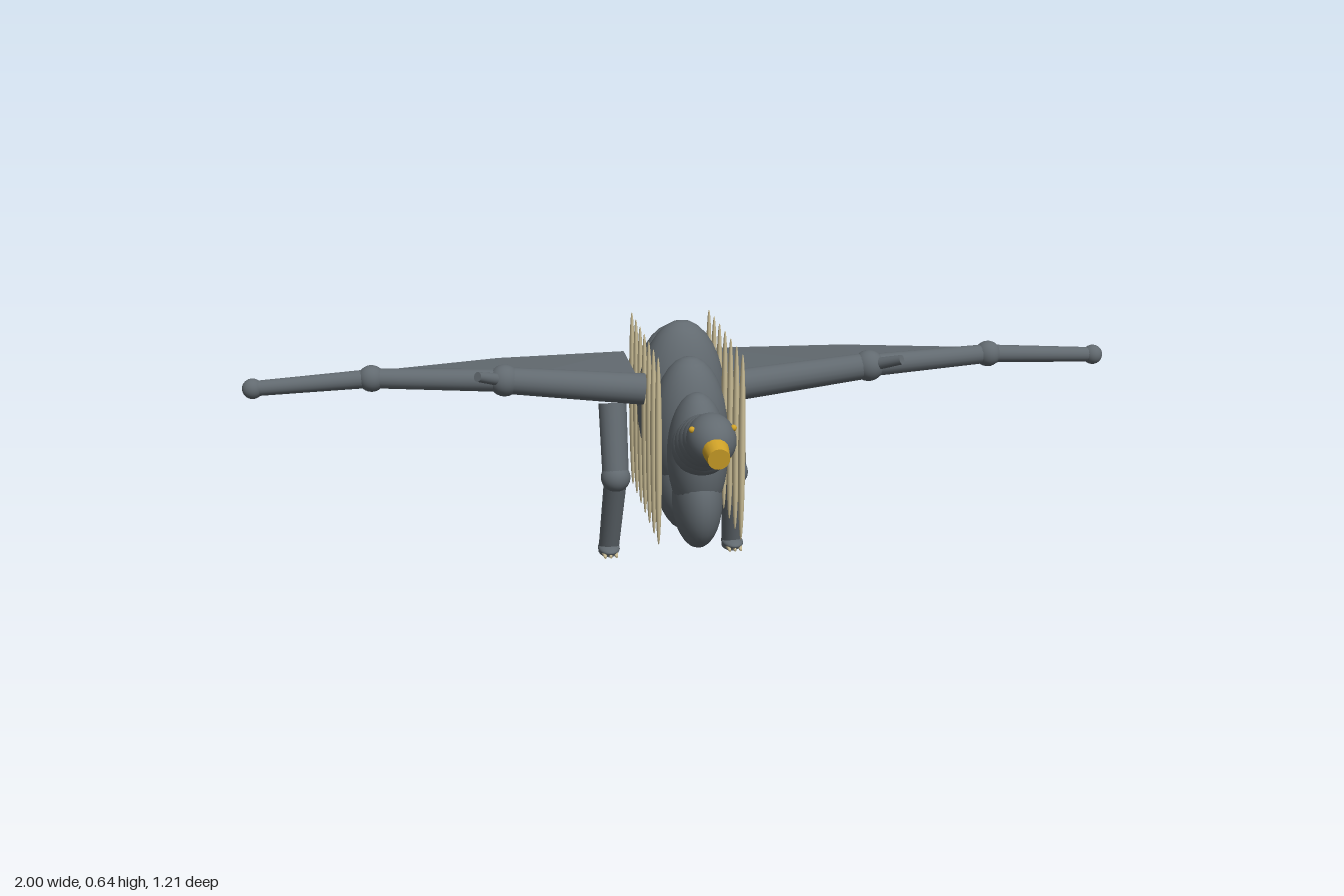
import * as THREE from 'three';

const hide = new THREE.MeshStandardMaterial({ color: 0x626a70 });
hide.name = 'grey hide';
const membraneMat = new THREE.MeshStandardMaterial({ color: 0x626a70, side: THREE.DoubleSide, flatShading: true });
membraneMat.name = 'grey membrane';
const bone = new THREE.MeshStandardMaterial({ color: 0xc8bb94 });
bone.name = 'bone';
const gold = new THREE.MeshStandardMaterial({ color: 0xd0a228 });
gold.name = 'gold';

export function createModel() {
  const model = new THREE.Group();
  model.name = 'wingedCreature';

  const ellipsoid = (name, mat, pos, rx, ry = rx, rz = rx) => {
    const m = new THREE.Mesh(new THREE.SphereGeometry(1, 24, 16), mat);
    m.name = name;
    m.position.set(...pos);
    m.scale.set(rx, ry, rz);
    model.add(m);
    return m;
  };
  // Tapered cylinder from a to b
  const limb = (name, mat, a, b, ra, rb) => {
    const p = new THREE.Vector3(...a), q = new THREE.Vector3(...b);
    const d = q.clone().sub(p);
    const m = new THREE.Mesh(new THREE.CylinderGeometry(rb, ra, d.length(), 18), mat);
    m.name = name;
    m.position.copy(p).add(q).multiplyScalar(0.5);
    m.quaternion.setFromUnitVectors(new THREE.Vector3(0, 1, 0), d.normalize());
    model.add(m);
    return m;
  };

  // Torso: tall upper lobes over a row of belly lobes [z, top, upper rx, belly rx]
  const lobes = [
    [0.325, 0.53, 0.068, 0.056],
    [0.215, 0.585, 0.088, 0.075],
    [0.10, 0.643, 0.105, 0.09],
    [-0.01, 0.608, 0.1, 0.085],
    [-0.12, 0.553, 0.085, 0.07],
  ];
  for (const [z, top, rx, bellyRx] of lobes) {
    const bottom = 0.24;
    ellipsoid('torsoLobe', hide, [0, (top + bottom) / 2, z], rx, (top - bottom) / 2, 0.088);
    ellipsoid('bellyLobe', hide, [0, 0.278, z], bellyRx, 0.11, 0.09);
  }

  // Neck and head
  const neck = [[0.45, 0.462, 0.054], [0.425, 0.45, 0.059], [0.4, 0.437, 0.063], [0.375, 0.42, 0.066]];
  for (const [z, y, r] of neck) ellipsoid('neckSegment', hide, [0, y, z], r);
  ellipsoid('head', hide, [0, 0.476, 0.505], 0.054, 0.058, 0.066);
  limb('beak', gold, [0, 0.472, 0.54], [0, 0.462, 0.6], 0.031, 0.024);

  // Tail: shrinking spheres joined by tapered links
  const tail = [
    [-0.12, 0.40, 0.075], [-0.235, 0.395, 0.071], [-0.29, 0.386, 0.057], [-0.348, 0.381, 0.056],
    [-0.405, 0.376, 0.042], [-0.463, 0.371, 0.041], [-0.58, 0.36, 0.025],
  ];
  tail.forEach(([z, y, r], i) => {
    ellipsoid('tailSegment', hide, [0, y, z], r);
    if (i) {
      const [pz, py, pr] = tail[i - 1];
      limb('tailLink', hide, [0, py, pz], [0, y, z], pr * 0.75, r * 0.85);
    }
  });

  for (const s of [1, -1]) {
    const side = s > 0 ? 'left' : 'right';
    ellipsoid(side + 'Eye', gold, [s * 0.045, 0.506, 0.522], 0.007);

    // Upright rib spindles along the flank
    for (let i = 0; i < 7; i++) {
      ellipsoid(side + 'Rib', bone, [s * 0.094, 0.408, 0.365 - i * 0.072], 0.008, 0.218, 0.012);
    }

    // Leg
    const hip = [s * 0.145, 0.405, -0.052], knee = [s * 0.145, 0.232, -0.002], ankle = [s * 0.156, 0.014, -0.077];
    limb(side + 'Thigh', hide, hip, knee, 0.034, 0.032);
    ellipsoid(side + 'Knee', hide, knee, 0.036);
    limb(side + 'Shin', hide, knee, ankle, 0.028, 0.025);
    ellipsoid(side + 'Foot', hide, [s * 0.156, 0.027, -0.067], 0.027, 0.013, 0.046);
    for (const dx of [-0.014, 0, 0.014]) {
      limb(side + 'Claw', bone, [s * 0.156 + dx, 0.024, -0.045], [s * 0.156 + dx, 0.018, -0.02], 0.007, 0.003);
    }

    // Wing arm with ball joints
    const arm = [[0.105, 0.513, 0.215], [0.42, 0.546, 0.212], [0.715, 0.555, 0.182], [0.977, 0.54, 0.173]]
      .map(([x, y, z]) => [s * x, y, z]);
    const radii = [[0.036, 0.03], [0.026, 0.022], [0.021, 0.017]];
    const joints = [0, 0.036, 0.03, 0.023];
    for (let i = 0; i < 3; i++) {
      limb(side + 'WingBone', hide, arm[i], arm[i + 1], ...radii[i]);
      ellipsoid(side + 'WingJoint', hide, arm[i + 1], joints[i + 1]);
    }
    limb(side + 'WingThumb', hide, arm[1], [s * 0.483, 0.572, 0.268], 0.015, 0.011);

    // Membrane panels between the arm and the trailing edge
    const trail = [[0.105, 0.51, -0.143], [0.42, 0.531, -0.045], [0.715, 0.546, 0.085], [0.977, 0.54, 0.155]]
      .map(([x, y, z]) => [s * x, y, z]);
    const pos = [];
    for (let i = 0; i < 3; i++) {
      const [a, b, c, d] = [arm[i], arm[i + 1], trail[i + 1], trail[i]];
      const tris = s > 0 ? [a, b, d, b, c, d] : [a, d, b, b, d, c];
      tris.forEach((p) => pos.push(...p));
    }
    const geo = new THREE.BufferGeometry();
    geo.setAttribute('position', new THREE.Float32BufferAttribute(pos, 3));
    geo.computeVertexNormals();
    // Panels face upward
    if (geo.attributes.normal.getY(0) < 0) {
      const p = geo.attributes.position;
      for (let i = 0; i < p.count; i += 3) {
        const v = [p.getX(i), p.getY(i), p.getZ(i)];
        p.setXYZ(i, p.getX(i + 1), p.getY(i + 1), p.getZ(i + 1));
        p.setXYZ(i + 1, ...v);
      }
      geo.computeVertexNormals();
    }
    const membrane = new THREE.Mesh(geo, membraneMat);
    membrane.name = side + 'WingMembrane';
    model.add(membrane);
  }
  return model;
}
